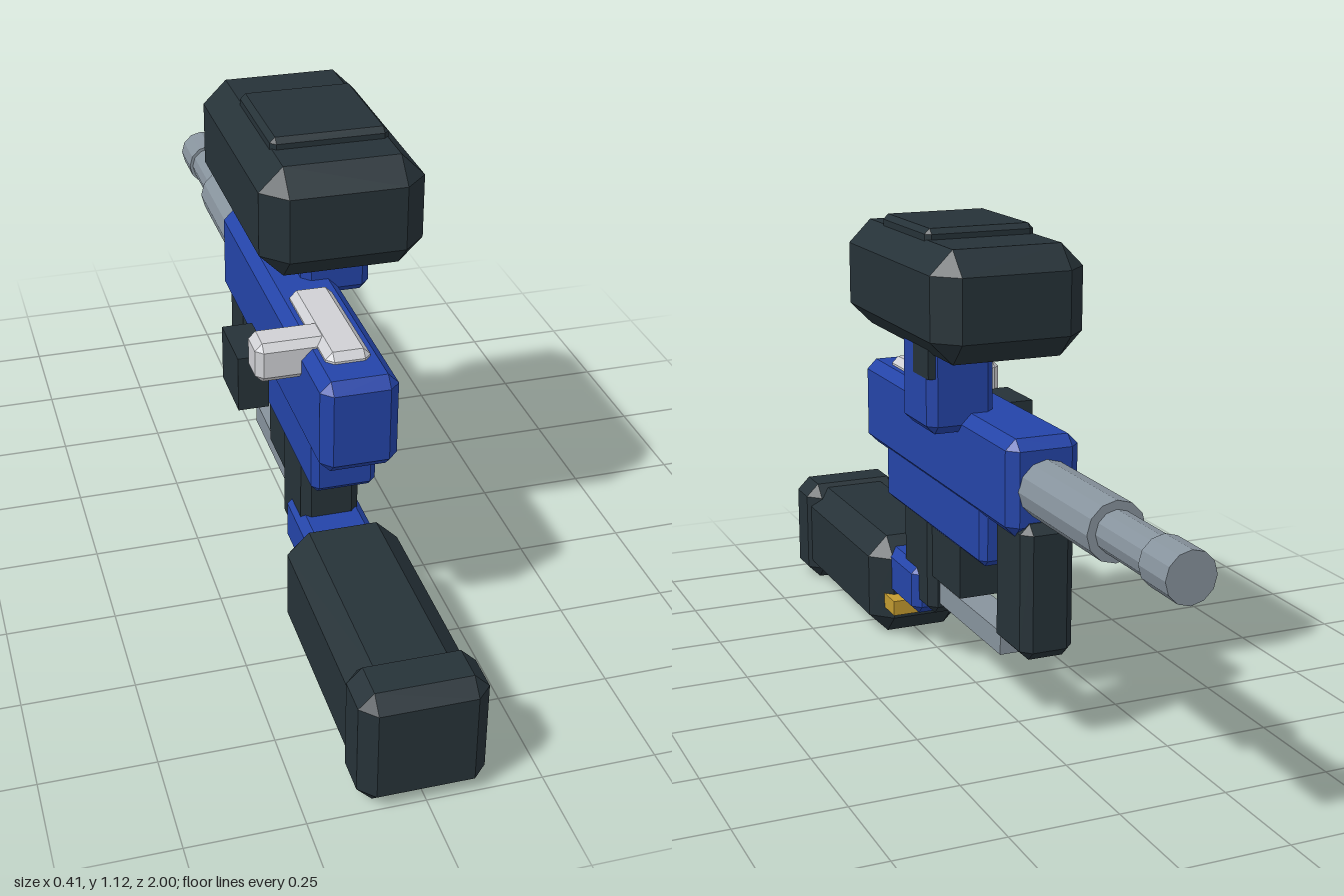
import * as THREE from 'three';
import { ConvexGeometry } from 'three/addons/geometries/ConvexGeometry.js';

const material = (name, color) => {
  const m = new THREE.MeshStandardMaterial({ color });
  m.name = name;
  return m;
};

// Box between two limits on each axis, with every edge cut by c
function bevelBox([x0, x1], [y0, y1], [z0, z1], c) {
  const w = (x1 - x0) / 2, h = (y1 - y0) / 2, d = (z1 - z0) / 2;
  let geo;
  if (c > 0) {
    const pts = [];
    for (const i of [-1, 1]) for (const j of [-1, 1]) for (const k of [-1, 1]) {
      pts.push(
        new THREE.Vector3(i * w, j * (h - c), k * (d - c)),
        new THREE.Vector3(i * (w - c), j * h, k * (d - c)),
        new THREE.Vector3(i * (w - c), j * (h - c), k * d));
    }
    geo = new ConvexGeometry(pts);
  } else {
    geo = new THREE.BoxGeometry(2 * w, 2 * h, 2 * d);
  }
  return geo.translate((x0 + x1) / 2, (y0 + y1) / 2, (z0 + z1) / 2);
}

export function createModel() {
  const group = new THREE.Group();
  const dark = material('charcoal', 0x263238);
  const blue = material('blue', 0x2444a8);
  const steel = material('steel grey', 0x87939d);
  const light = material('light grey', 0xcfd0d4);
  const brass = material('brass', 0xc29a30);

  const add = (name, geo, mat) => {
    const mesh = new THREE.Mesh(geo, mat);
    mesh.name = name;
    group.add(mesh);
  };
  const box = (name, mat, x, y, z, c = 0) => add(name, bevelBox(x, y, z, c), mat);

  // Stock and its joint
  box('stock', dark, [-0.13, 0.126], [0.003, 0.262], [0.355, 0.95], 0.05);
  box('buttPlate', dark, [-0.138, 0.135], [0, 0.272], [0.853, 1], 0.033);
  box('stockJoint', blue, [-0.08, 0.08], [0.113, 0.238], [0.2, 0.45], 0.02);
  box('jointPin', brass, [-0.095, 0.095], [0.08, 0.118], [0.305, 0.45]);

  // Grip, lower bar and magazine
  box('grip', dark, [-0.069, 0.065], [0.135, 0.42], [0.13, 0.315], 0.02);
  box('lowerBar', steel, [-0.04, 0.04], [0.165, 0.22], [-0.235, 0.2]);
  box('magazine', dark, [-0.055, 0.055], [0.235, 0.42], [-0.035, 0.2]);

  // Receiver and front grip
  box('lowerReceiver', blue, [-0.074, 0.072], [0.365, 0.53], [-0.202, 0.412], 0.015);
  box('upperReceiver', blue, [-0.087, 0.084], [0.487, 0.705], [-0.38, 0.53], 0.024);
  box('frontGrip', dark, [-0.065, 0.06], [0.208, 0.52], [-0.405, -0.238], 0.022);

  // Barrel: radius, rear z, front z
  [['barrel', 0.066, -0.35, -0.703],
    ['barrelNeck', 0.047, -0.69, -0.91],
    ['barrelTip', 0.055, -0.895, -1]].forEach(([name, r, z0, z1]) => {
    const geo = new THREE.CylinderGeometry(r, r, z0 - z1, 12).toNonIndexed();
    geo.computeVertexNormals();
    geo.rotateX(Math.PI / 2).translate(-0.003, 0.593, (z0 + z1) / 2);
    add(name, geo, steel);
  });

  // Top plate, side arm and knob
  box('topPlate', light, [-0.052, 0.047], [0.66, 0.726], [0.12, 0.44], 0.016);
  box('sideArm', light, [-0.185, -0.02], [0.633, 0.725], [0.275, 0.365], 0.016);
  box('sideKnob', dark, [-0.206, -0.137], [0.526, 0.655], [0.13, 0.28]);

  // Sight on its offset mount
  box('sightMount', blue, [0, 0.161], [0.66, 0.88], [-0.116, 0.06], 0.02);
  box('mountClamp', dark, [0.1, 0.162], [0.79, 0.9], [-0.112, -0.02]);
  box('sightBody', dark, [-0.158, 0.203], [0.846, 1.096], [-0.28, 0.338], 0.053);
  box('sightCap', dark, [-0.108, 0.153], [1.06, 1.12], [-0.085, 0.198], 0.012);

  return group;
}
